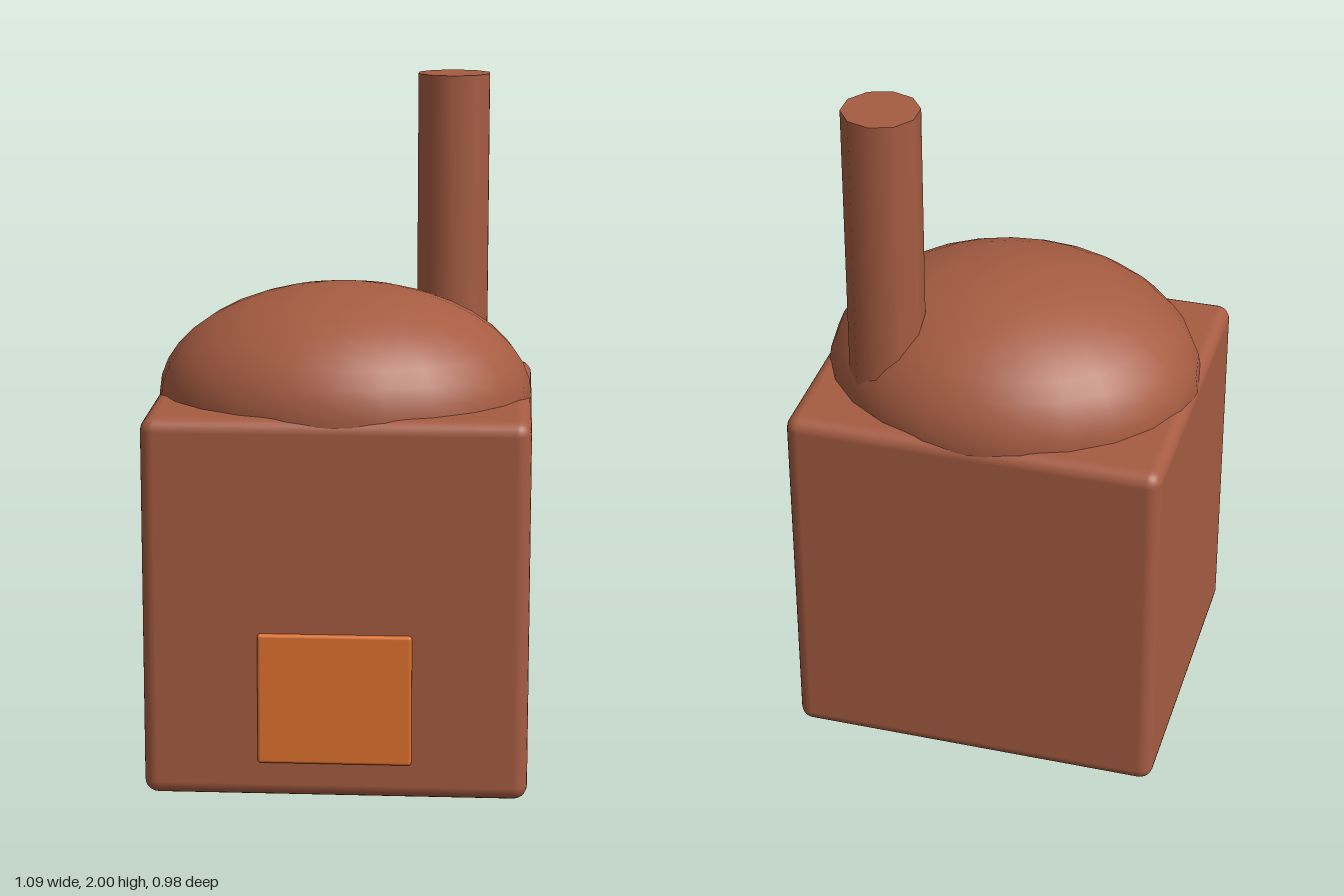
import * as THREE from 'three';
import { RoundedBoxGeometry } from 'three/addons/geometries/RoundedBoxGeometry.js';

export function createModel() {
  const brick = new THREE.MeshStandardMaterial({ color: 0xa65c42, name: 'brick' });
  const ember = new THREE.MeshStandardMaterial({ color: 0xde712e, name: 'ember orange' });
  const model = new THREE.Group();
  model.name = 'oven';

  const add = (name, geometry, material, x, y, z) => {
    const mesh = new THREE.Mesh(geometry, material);
    mesh.name = name;
    mesh.position.set(x, y, z);
    model.add(mesh);
    return mesh;
  };

  // Softly rounded block standing on the ground
  add('body', new RoundedBoxGeometry(1.094, 1.1, 0.962, 3, 0.04), brick, 0, 0.55, -0.007);

  // Flattened half-sphere roof, sunk slightly into the block
  const dome = new THREE.SphereGeometry(1, 24, 10, 0, Math.PI * 2, 0, Math.PI / 2);
  dome.scale(0.547, 0.33, 0.481);
  add('dome', dome, brick, 0, 1.08, -0.007);

  // Ten-sided chimney rising from the back left of the dome
  add('chimney', new THREE.CylinderGeometry(0.11, 0.11, 0.9, 10), brick, 0.308, 1.55, -0.25);

  // Fire door standing just proud of the front
  add('fireDoor', new RoundedBoxGeometry(0.437, 0.38, 0.04, 2, 0.009), ember, 0, 0.296, 0.468);

  return model;
}
